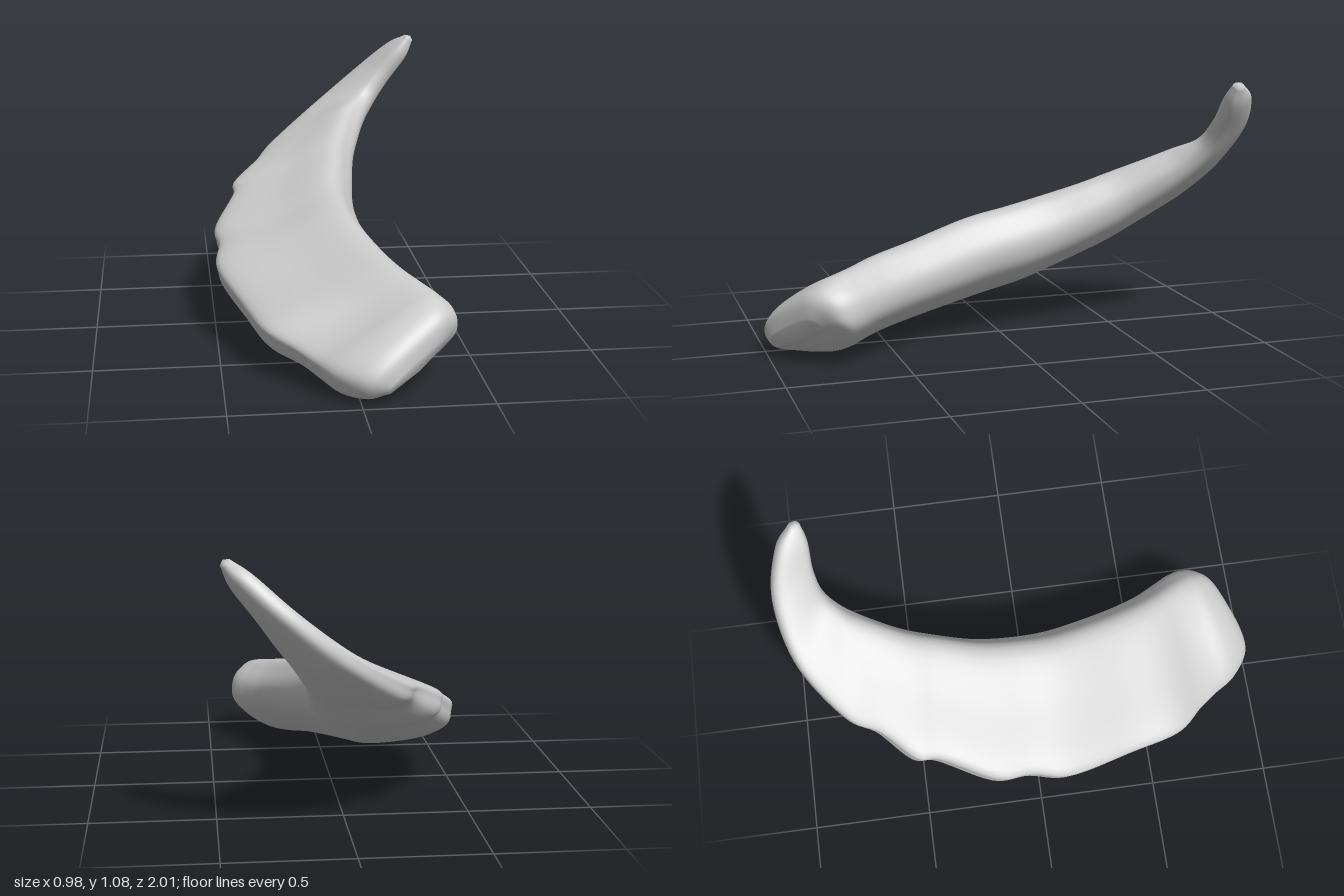
import * as THREE from 'three';

// Stations from the blunt end to the tip:
// outer edge x,y,z | inner edge x,y,z | thickness above, below
const STATIONS = [
  [0.10, 0.06, 0.985, 0.33, 0.185, 0.835, 0.05, 0.025],
  [0.01, 0.055, 0.98, 0.385, 0.235, 0.785, 0.115, 0.08],
  [-0.09, 0.075, 0.91, 0.39, 0.255, 0.735, 0.14, 0.14],
  [-0.155, 0.10, 0.82, 0.37, 0.265, 0.68, 0.145, 0.155],
  [-0.22, 0.13, 0.74, 0.33, 0.27, 0.61, 0.15, 0.155],
  [-0.33, 0.165, 0.62, 0.27, 0.28, 0.50, 0.16, 0.16],
  [-0.40, 0.20, 0.40, 0.21, 0.31, 0.34, 0.165, 0.16],
  [-0.485, 0.26, 0.12, 0.14, 0.36, 0.10, 0.175, 0.17],
  [-0.47, 0.305, -0.05, 0.12, 0.39, -0.08, 0.178, 0.165],
  [-0.48, 0.34, -0.20, 0.12, 0.435, -0.25, 0.175, 0.15],
  [-0.39, 0.43, -0.42, 0.14, 0.51, -0.42, 0.155, 0.14],
  [-0.38, 0.465, -0.52, 0.16, 0.58, -0.54, 0.135, 0.135],
  [-0.27, 0.535, -0.65, 0.20, 0.66, -0.66, 0.11, 0.12],
  [-0.20, 0.58, -0.78, 0.24, 0.73, -0.75, 0.09, 0.10],
  [0.00, 0.72, -0.94, 0.29, 0.80, -0.81, 0.06, 0.07],
  [0.22, 0.89, -0.995, 0.35, 0.89, -0.83, 0.05, 0.05],
  [0.38, 1.03, -0.95, 0.43, 1.00, -0.83, 0.04, 0.042],
  [0.457, 1.085, -0.885, 0.47, 1.075, -0.845, 0.02, 0.02],
];

// Body section: thin at the outer edge, thick at the inner edge
const BODY = [
  [0, 0], [0.045, 0.36], [0.45, 0.68], [0.84, 1], [0.97, 0.55],
  [1, 0], [0.9, -0.55], [0.6, -1], [0.25, -0.82], [0.04, -0.42],
];
// Evenly rounded section used at both ends
const ROUND = [
  [0, 0], [0.07, 0.6], [0.35, 0.95], [0.8, 1], [0.96, 0.6],
  [1, 0], [0.94, -0.6], [0.65, -1], [0.3, -0.95], [0.06, -0.6],
];

const spline = (pts, closed = false) => new THREE.CatmullRomCurve3(pts, closed, 'catmullrom', 0.5);
const ring = pts => spline(pts.map(p => new THREE.Vector3(p[0], p[1], 0)), true);

function clawGeometry(rows = 128, sides = 60) {
  const outer = spline(STATIONS.map(s => new THREE.Vector3(s[0], s[1], s[2])));
  const inner = spline(STATIONS.map(s => new THREE.Vector3(s[3], s[4], s[5])));
  const thick = spline(STATIONS.map(s => new THREE.Vector3(s[6], s[7], 0)));
  const body = ring(BODY), round = ring(ROUND);
  const mid = t => outer.getPoint(t).lerp(inner.getPoint(t), 0.5);
  const tangent = t => mid(Math.min(1, t + 0.04)).sub(mid(Math.max(0, t - 0.04))).normalize();
  const roundness = t => Math.max(
    1 - THREE.MathUtils.smoothstep(t, 0.03, 0.25),
    THREE.MathUtils.smoothstep(t, 0.72, 0.92));

  const pos = [], index = [];
  for (let i = 0; i <= rows; i++) {
    const t = i / rows;
    const o = outer.getPoint(t), w = inner.getPoint(t).sub(o), h = thick.getPoint(t);
    const n = w.clone().cross(tangent(t)).normalize();
    for (let j = 0; j < sides; j++) {
      const p = body.getPoint(j / sides).lerp(round.getPoint(j / sides), roundness(t));
      const v = o.clone().addScaledVector(w, p.x).addScaledVector(n, p.y * (p.y > 0 ? h.x : h.y));
      pos.push(v.x, v.y, v.z);
    }
  }
  for (let i = 0; i < rows; i++) {
    for (let j = 0; j < sides; j++) {
      const a = i * sides + j, b = i * sides + (j + 1) % sides;
      index.push(a, b, a + sides, b, b + sides, a + sides);
    }
  }

  // Slightly domed caps on both ends
  const start = mid(0).addScaledVector(tangent(0), -0.012);
  const tip = mid(1).addScaledVector(tangent(1), 0.012);
  const s = pos.length / 3, last = rows * sides;
  pos.push(start.x, start.y, start.z, tip.x, tip.y, tip.z);
  for (let j = 0; j < sides; j++) {
    const k = (j + 1) % sides;
    index.push(s, k, j, s + 1, last + j, last + k);
  }

  const g = new THREE.BufferGeometry();
  g.setAttribute('position', new THREE.Float32BufferAttribute(pos, 3));
  g.setIndex(index);
  g.computeVertexNormals();
  return g;
}

export function createModel() {
  const group = new THREE.Group();
  group.name = 'curvedClaw';
  const claw = new THREE.Mesh(clawGeometry(), new THREE.MeshStandardMaterial({ color: 0xcccccc }));
  claw.name = 'clawBody';
  group.add(claw);
  return group;
}
